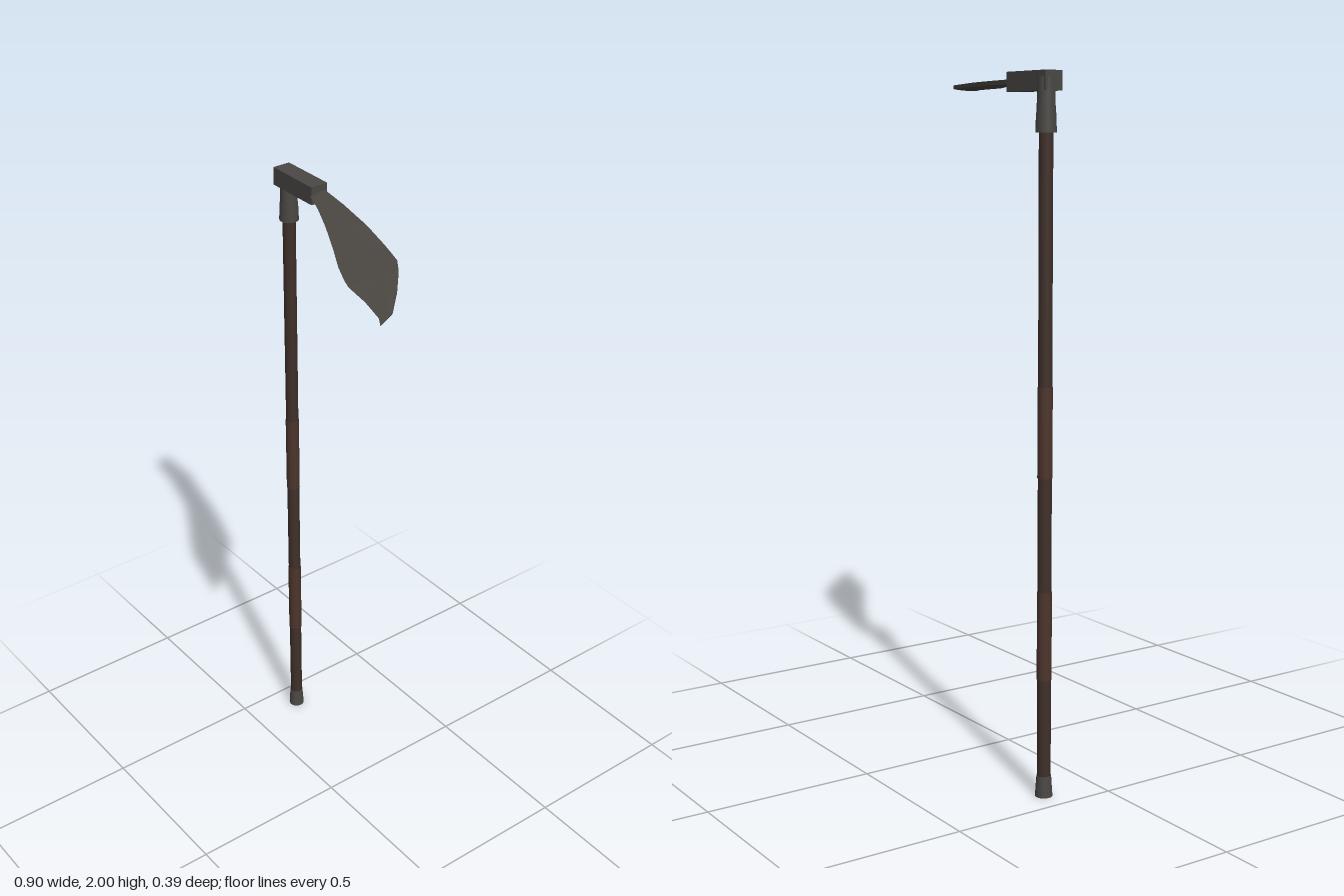
import * as THREE from 'three';

const SHAFT_X = -0.422, SHAFT_Z = -0.169, BLADE_Y = 1.974;

const material = (color, flat = false) => new THREE.MeshStandardMaterial({ color, flatShading: flat });

function addMesh(parent, name, geometry, mat) {
  const mesh = new THREE.Mesh(geometry, mat);
  mesh.name = name;
  parent.add(mesh);
  return mesh;
}

// Round part standing on the shaft axis between two heights
function addRound(parent, name, y0, y1, rBottom, rTop, mat) {
  const geometry = new THREE.CylinderGeometry(rTop, rBottom, y1 - y0, 16);
  addMesh(parent, name, geometry, mat).position.set(SHAFT_X, (y0 + y1) / 2, SHAFT_Z);
}

// Blade lofted through sections: thick back, flat shoulder, sharp cutting edge
function bladeGeometry() {
  // [back x, back z, edge x, edge z, half thickness]
  const sections = [
    [-0.29, -0.184, -0.29, -0.138, 0.006],
    [-0.263, -0.180, -0.27, -0.132, 0.006],
    [-0.154, -0.161, -0.183, -0.094, 0.006],
    [-0.010, -0.128, -0.082, -0.043, 0.006],
    [0.110, -0.092, 0.039, 0.024, 0.005],
    [0.160, -0.075, 0.135, 0.080, 0.005],
    [0.202, -0.060, 0.202, 0.113, 0.005],
    [0.248, -0.027, 0.239, 0.128, 0.005],
    [0.328, 0.043, 0.328, 0.145, 0.004],
    [0.414, 0.128, 0.414, 0.171, 0.003],
    [0.448, 0.193, 0.448, 0.193, 0],
  ];
  const rings = sections.map(([bx, bz, ex, ez, t]) => {
    const at = (f, y) => [bx + (ex - bx) * f, BLADE_Y + y, bz + (ez - bz) * f];
    return [at(0, t), at(0.35, t), at(1, 0), at(0.35, -t), at(0, -t)];
  });
  const positions = [];
  for (let i = 0; i < rings.length - 1; i++) {
    for (let j = 0; j < 5; j++) {
      const k = (j + 1) % 5;
      const a = rings[i][j], b = rings[i][k], c = rings[i + 1][k], d = rings[i + 1][j];
      positions.push(...a, ...b, ...c, ...a, ...c, ...d);
    }
  }
  const geometry = new THREE.BufferGeometry();
  geometry.setAttribute('position', new THREE.Float32BufferAttribute(positions, 3));
  geometry.computeVertexNormals();
  return geometry;
}

export function createModel() {
  const model = new THREE.Group();
  model.name = 'scythe';
  const iron = material(0x4a4744);
  const steel = material(0x4c4843, true);
  const woods = [material(0x40302a), material(0x4c352c)];

  // Wooden shaft in alternating sections
  const shaft = new THREE.Group();
  shaft.name = 'shaft';
  model.add(shaft);
  const joints = [0.03, 0.34, 0.59, 0.91, 1.16, 1.86];
  for (let i = 0; i < joints.length - 1; i++) {
    const r = i % 2 ? 0.021 : 0.0195;
    addRound(shaft, 'shaftSection', joints[i], joints[i + 1], r, r, woods[i % 2]);
  }

  // Iron foot cap and head socket
  addRound(model, 'footCap', 0, 0.06, 0.025, 0.021, iron);
  addRound(model, 'socketCollar', 1.838, 1.89, 0.029, 0.027, iron);
  addRound(model, 'socket', 1.89, 1.985, 0.026, 0.023, iron);

  // Block clamping the blade to the socket
  addMesh(model, 'bladeClamp', new THREE.BoxGeometry(0.18, 0.053, 0.055), iron)
    .position.set(-0.353, 1.9735, -0.1595);

  addMesh(model, 'blade', bladeGeometry(), steel);
  return model;
}
